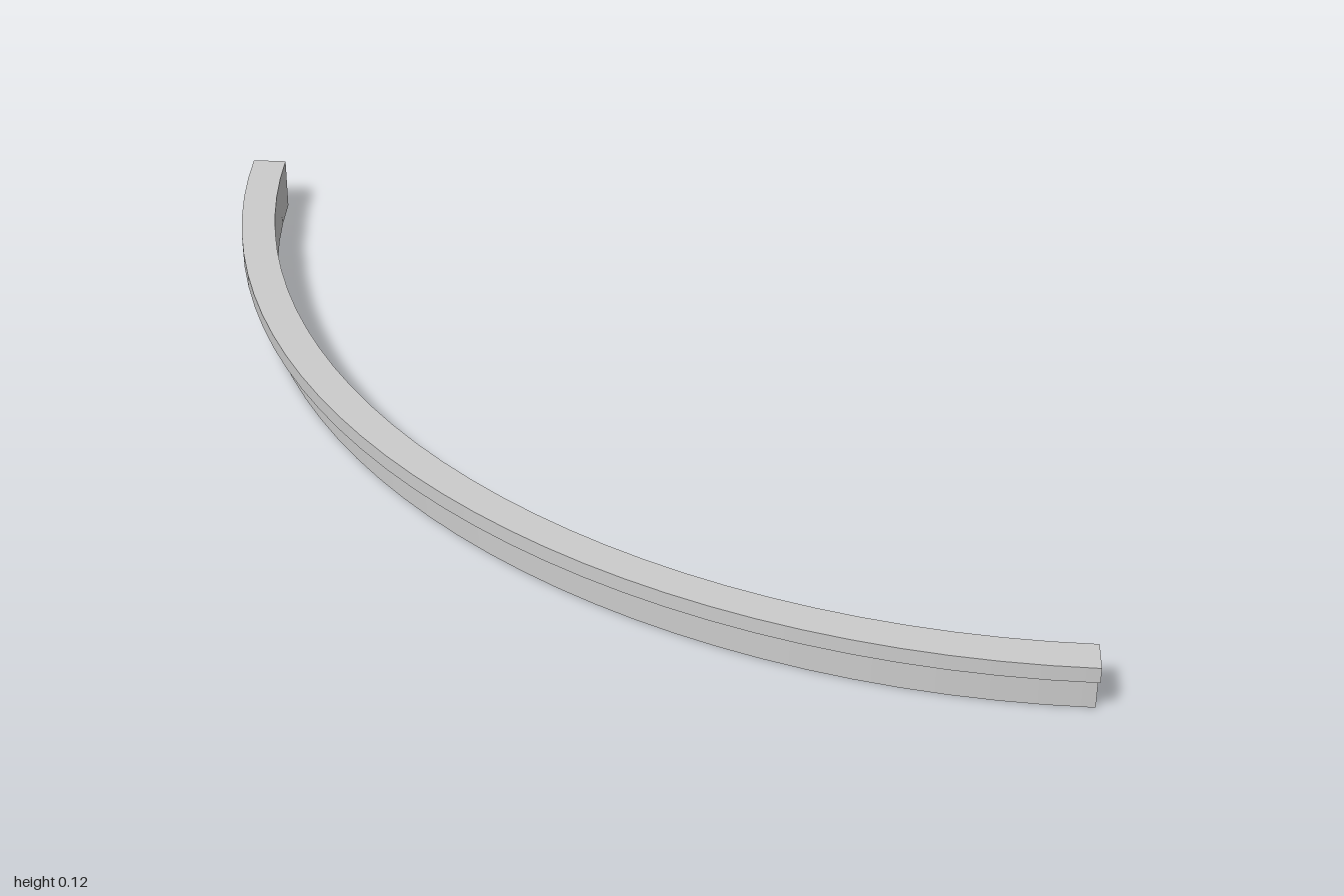
import * as THREE from 'three';
import { mergeGeometries } from 'three/addons/utils/BufferGeometryUtils.js';

// Cross-section (radius, height), counter-clockwise: a web with an outer top lip
const PROFILE = [[1.92, 0], [1.96, 0], [1.96, 0.09], [2, 0.09], [2, 0.125], [1.92, 0.125]]
  .map(([r, y]) => new THREE.Vector2(r, y));
const SEGMENTS = 32;

// End face of the quarter ring; mirror flips the section before turning it
function endCap(mirror, angle) {
  const points = PROFILE.map((p) => new THREE.Vector2(p.x * mirror, p.y));
  return new THREE.ShapeGeometry(new THREE.Shape(points)).rotateY(angle);
}

export function createModel() {
  const group = new THREE.Group();
  group.name = 'curvedRail';

  // Each profile edge is swept on its own, so the corners stay sharp
  const pieces = PROFILE.map((p, i) => new THREE.LatheGeometry(
    [p, PROFILE[(i + 1) % PROFILE.length]], SEGMENTS, Math.PI * 1.5, Math.PI / 2));

  // Back end faces -z, left end faces +x
  pieces.push(endCap(1, Math.PI), endCap(-1, Math.PI / 2));

  const rail = new THREE.Mesh(
    mergeGeometries(pieces),
    new THREE.MeshStandardMaterial({ color: 0xcccccc }));
  rail.name = 'quarterRingRail';
  rail.position.set(1, 0, -1); // centre of the arc
  group.add(rail);
  return group;
}
